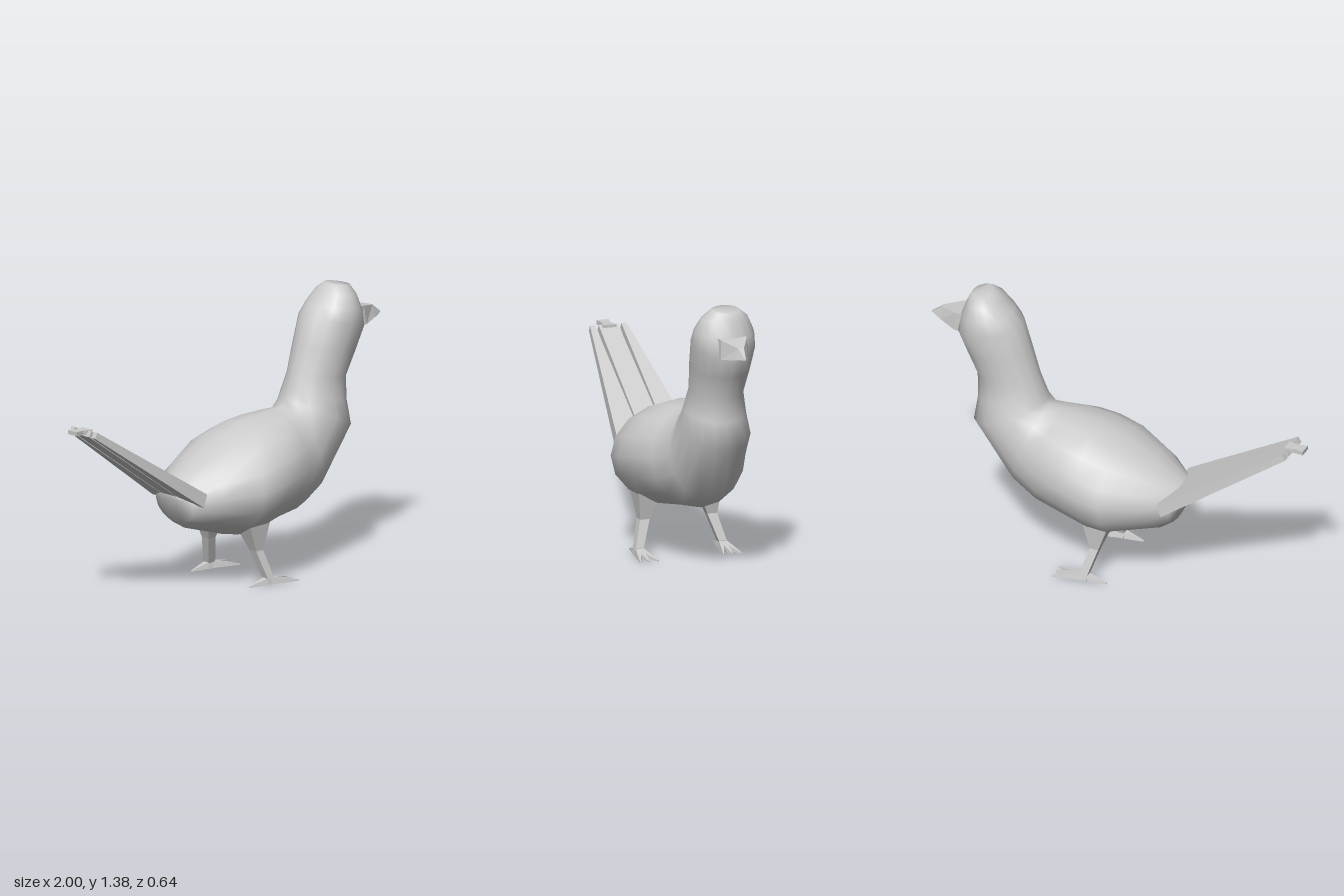
import * as THREE from 'three';

const smoothMat = new THREE.MeshStandardMaterial({ color: 0xcccccc });
const flatMat = new THREE.MeshStandardMaterial({ color: 0xcccccc, flatShading: true });

// Closed skin over a list of rings (each an equal-length list of [x, y, z]), capped at both ends
function loft(name, rings, material = flatMat) {
  const n = rings[0].length, last = (rings.length - 1) * n;
  const pts = rings.flat();
  const tris = [];
  for (let r = 0; r < rings.length - 1; r++) {
    for (let i = 0; i < n; i++) {
      const a = r * n + i, b = r * n + (i + 1) % n;
      tris.push([a, b, b + n], [a, b + n, a + n]);
    }
  }
  for (let i = 1; i < n - 1; i++) {
    tris.push([0, i + 1, i], [last, last + i, last + i + 1]);
  }
  // Turn the faces outward if the rings ran the other way round
  const v = pts.map(p => new THREE.Vector3(...p));
  let volume = 0;
  for (const [a, b, c] of tris) volume += v[a].dot(v[b].clone().cross(v[c]));
  if (volume < 0) tris.forEach(t => t.reverse());

  const geo = new THREE.BufferGeometry();
  geo.setAttribute('position', new THREE.Float32BufferAttribute(pts.flat(), 3));
  geo.setIndex(tris.flat());
  const finalGeo = material.flatShading ? geo.toNonIndexed() : geo;
  finalGeo.computeVertexNormals();
  const mesh = new THREE.Mesh(finalGeo, material);
  mesh.name = name;
  return mesh;
}

// Oval ring from its lower/front point to its upper/back point, with half width w
function oval([x0, y0, x1, y1, w], sides = 16) {
  return Array.from({ length: sides }, (_, i) => {
    const a = i / sides * Math.PI * 2, t = (1 + Math.sin(a)) / 2;
    return [x0 + (x1 - x0) * t, y0 + (y1 - y0) * t, w * Math.cos(a)];
  });
}

// Level rectangle at height y
const rect = (y, x0, x1, z0, z1) => [[x0, y, z0], [x1, y, z0], [x1, y, z1], [x0, y, z1]];
// Upright rectangle across x, narrower or wider at the top
const gate = (x, y0, y1, w0, w1, xTop = x) =>
  [[x, y0, -w0], [x, y0, w0], [xTop, y1, w1], [xTop, y1, -w1]];
const mirror = (rings, s) => rings.map(r => r.map(([x, y, z]) => [x, y, z * s]));

export function createModel() {
  const bird = new THREE.Group();
  bird.name = 'bird';

  // Body, neck and head: one skin from rump to crown
  const sections = [
    [-0.36, 0.42, -0.375, 0.50, 0.07],
    [-0.32, 0.335, -0.345, 0.545, 0.14],
    [-0.27, 0.30, -0.19, 0.645, 0.225],
    [-0.03, 0.23, -0.03, 0.73, 0.318],
    [0.07, 0.23, 0.10, 0.775, 0.32],
    [0.22, 0.27, 0.20, 0.79, 0.30],
    [0.38, 0.29, 0.30, 0.80, 0.245],
    [0.53, 0.36, 0.37, 0.805, 0.19],
    [0.76, 0.66, 0.385, 0.83, 0.172],
    [0.74, 0.80, 0.40, 0.87, 0.15],
    [0.745, 0.92, 0.43, 0.95, 0.13],
    [0.80, 1.04, 0.475, 1.09, 0.146],
    [0.85, 1.15, 0.52, 1.23, 0.156],
    [0.83, 1.24, 0.57, 1.28, 0.15],
    [0.80, 1.32, 0.62, 1.335, 0.118],
    [0.78, 1.36, 0.66, 1.375, 0.07],
  ];
  bird.add(loft('bodyAndHead', sections.map(s => oval(s)), smoothMat));

  // Beak
  bird.add(loft('beak', [
    gate(0.80, 1.15, 1.25, 0.075, 0.075),
    gate(0.85, 1.15, 1.245, 0.072, 0.066, 0.84),
    gate(0.94, 1.167, 1.225, 0.035, 0.015),
    gate(1.0, 1.176, 1.182, 0.003, 0.003),
  ]));

  // Tail: a middle feather with a small tip and a broad feather on each side
  const feather = (z0, z1, z2, z3) => [
    [[-0.31, 0.44, z0], [-0.31, 0.44, z1], [-0.29, 0.505, z1], [-0.29, 0.505, z0]],
    [[-0.935, 0.872, z2], [-0.935, 0.872, z3], [-0.92, 0.90, z3], [-0.92, 0.90, z2]],
  ];
  const tail = new THREE.Group();
  tail.name = 'tail';
  tail.add(loft('middleFeather', feather(-0.06, 0.06, -0.05, 0.05)));
  tail.add(loft('tailTip', [
    gate(-0.90, 0.88, 0.902, 0.035, 0.035),
    gate(-0.95, 0.879, 0.902, 0.022, 0.022),
    gate(-1.0, 0.884, 0.904, 0.032, 0.032),
  ]));
  for (const s of [1, -1]) {
    tail.add(loft(s > 0 ? 'rightFeather' : 'leftFeather',
      mirror(feather(0.066, 0.19, 0.068, 0.095), s)));
  }
  bird.add(tail);

  // Legs and feet
  for (const s of [1, -1]) {
    const leg = new THREE.Group();
    leg.name = s > 0 ? 'rightLeg' : 'leftLeg';
    leg.add(loft('thighAndShin', mirror([
      rect(0.31, -0.035, 0.095, 0.09, 0.217),
      rect(0.17, 0.02, 0.065, 0.15, 0.20),
      rect(0.03, 0.063, 0.105, 0.198, 0.238),
    ], s)));
    // Three toes forward and one back, each a wedge running to a point
    for (const [x, z] of [[0.24, 0.17], [0.235, 0.216], [0.24, 0.262], [-0.035, 0.216]]) {
      const base = x > 0 ? 0.065 : 0.105;
      leg.add(loft('toe', mirror([
        [[base, 0.003, 0.192], [base, 0.003, 0.242], [base, 0.04, 0.234], [base, 0.04, 0.2]],
        [[0.085, 0.003, 0.192], [0.085, 0.003, 0.242], [0.085, 0.04, 0.234], [0.085, 0.04, 0.2]],
        [[x, 0, z - 0.004], [x, 0, z + 0.004], [x, 0.006, z + 0.003], [x, 0.006, z - 0.003]],
      ], s)));
    }
    bird.add(leg);
  }
  return bird;
}
